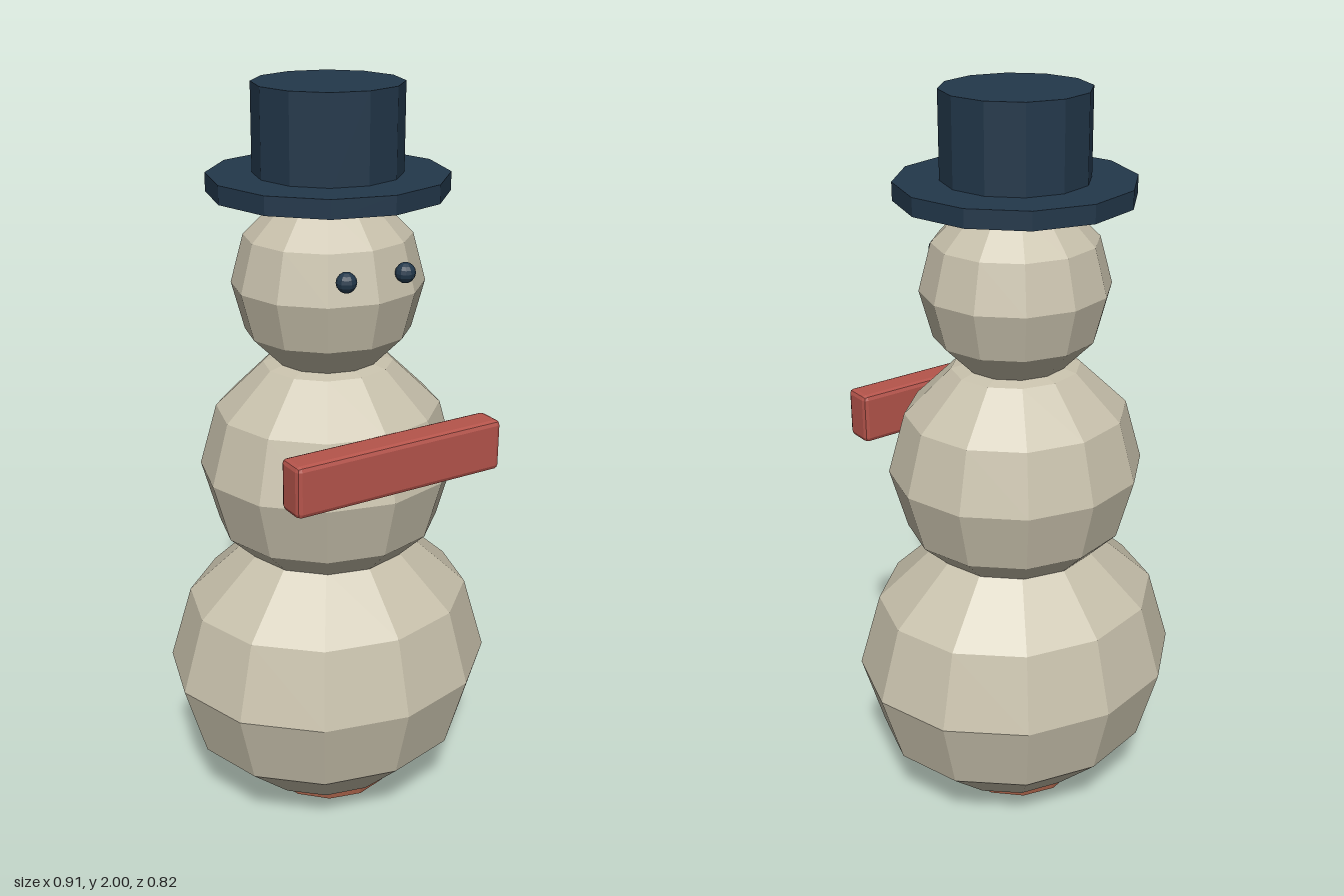
import * as THREE from 'three';
import { RoundedBoxGeometry } from 'three/addons/geometries/RoundedBoxGeometry.js';

const SIDES = 12;

function material(name, color) {
  const m = new THREE.MeshStandardMaterial({ color, flatShading: true });
  m.name = name;
  return m;
}

export function createModel() {
  const model = new THREE.Group();
  model.name = 'snowman';

  const snow = material('snow', 0xc8c1ac);
  const navy = material('navy', 0x23384b);
  const red = material('scarfRed', 0xb5544b);
  const brown = material('baseBrown', 0x9c5b44);

  function add(name, geometry, mat, x, y, z) {
    const mesh = new THREE.Mesh(geometry, mat);
    mesh.name = name;
    mesh.position.set(x, y, z);
    model.add(mesh);
    return mesh;
  }

  // Faceted ball, stretched to its own radii
  function ball(name, y, rx, ry, rz) {
    const geometry = new THREE.SphereGeometry(1, SIDES, 6).scale(rx, ry, rz);
    add(name, geometry, snow, 0, y, 0);
  }

  // Upright prism between two heights, with corners on the axes
  function disc(name, mat, radius, bottom, top) {
    const geometry = new THREE.CylinderGeometry(radius, radius, top - bottom, SIDES);
    add(name, geometry, mat, 0, (bottom + top) / 2, 0);
  }

  // Body
  ball('lowerBody', 0.412, 0.455, 0.412, 0.412);
  ball('upperBody', 1.0, 0.348, 0.33, 0.328);
  ball('head', 1.5, 0.252, 0.249, 0.241);

  // Base
  disc('base', brown, 0.18, 0.02, 0.09);

  // Hat
  disc('hatBrim', navy, 0.307, 1.732, 1.779);
  disc('hatCrown', navy, 0.19, 1.76, 2.0);

  // Eyes
  for (const [name, side] of [['leftEye', 1], ['rightEye', -1]]) {
    add(name, new THREE.SphereGeometry(0.026, 12, 8), navy, side * 0.085, 1.563, 0.225);
  }

  // Scarf bar with chamfered edges
  add('scarf', new RoundedBoxGeometry(0.602, 0.136, 0.083, 1, 0.013), red, 0, 1.107, 0.318);

  return model;
}
